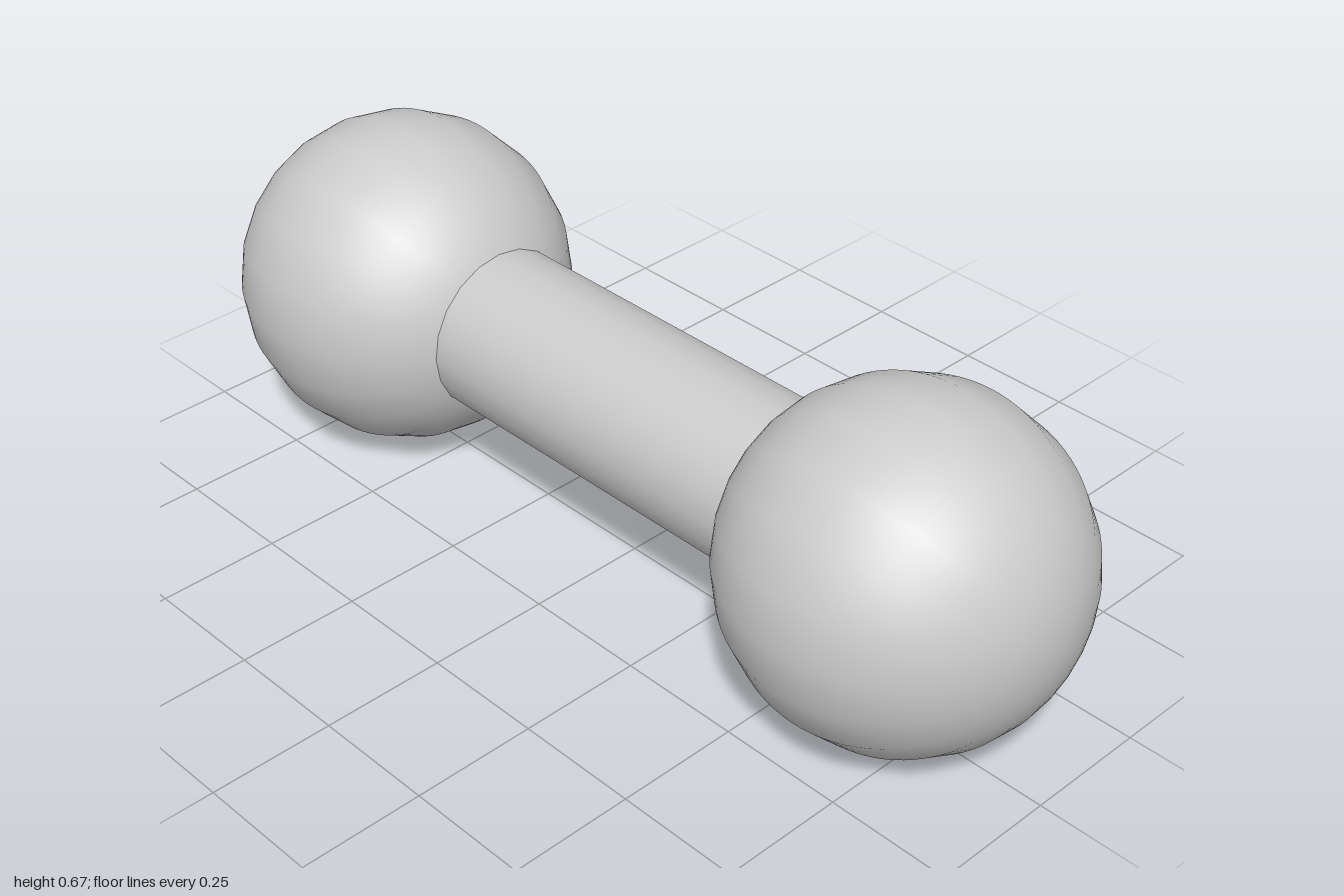
import * as THREE from 'three';

const SIDES = 20;
const BALL = 1 / 3;          // ball radius
const BAR = BALL / 2;        // handle radius
const CENTER = 1 - BALL;     // ball distance from the middle

export function createModel() {
  const model = new THREE.Group();
  model.name = 'dumbbell';
  const material = new THREE.MeshStandardMaterial({ color: 0xcccccc });

  // Balls, poles along z, open only where the handle meets them
  const cut = Math.PI - Math.asin(BAR / BALL);
  for (const side of [1, -1]) {
    const geometry = new THREE.SphereGeometry(BALL, SIDES, 40, 0, Math.PI * 2, 0, cut);
    geometry.rotateX(side * Math.PI / 2);
    const ball = new THREE.Mesh(geometry, material);
    ball.name = side > 0 ? 'frontBall' : 'backBall';
    ball.position.set(0, BALL, side * CENTER);
    model.add(ball);
  }

  // Handle between the two ball rims
  const length = 2 * (CENTER - Math.sqrt(BALL * BALL - BAR * BAR));
  const barGeometry = new THREE.CylinderGeometry(BAR, BAR, length, SIDES, 1, true);
  barGeometry.rotateX(Math.PI / 2);
  const handle = new THREE.Mesh(barGeometry, material);
  handle.name = 'handle';
  handle.position.y = BALL;
  model.add(handle);

  return model;
}
